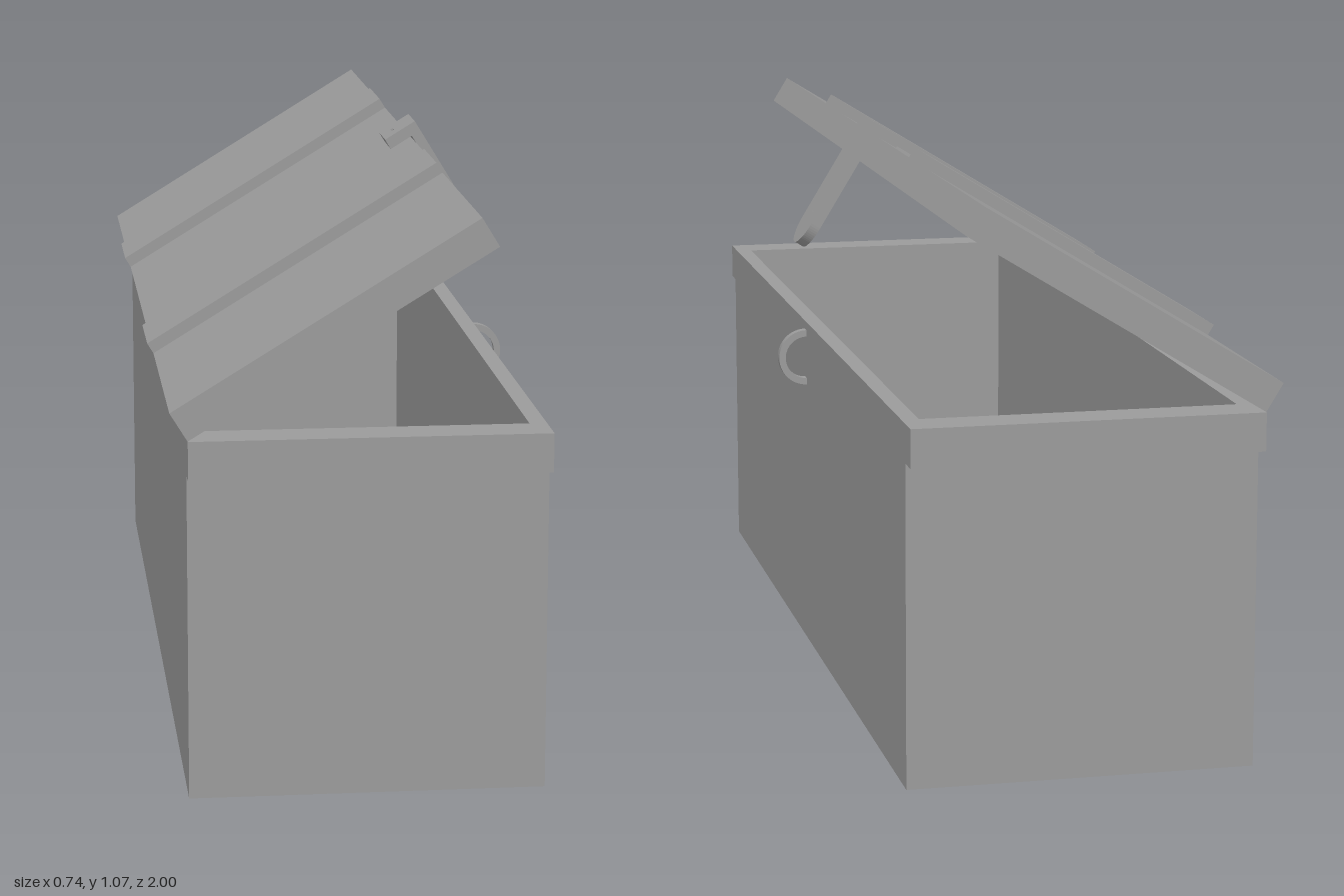
import * as THREE from 'three';

const material = new THREE.MeshStandardMaterial({ color: 0x9b9b9b, flatShading: true });

function add(parent, name, geometry, x = 0, y = 0, z = 0) {
  const mesh = new THREE.Mesh(geometry, material);
  mesh.name = name;
  mesh.position.set(x, y, z);
  parent.add(mesh);
  return mesh;
}

// Box given by its minimum and maximum corners
function addBox(parent, name, [x0, y0, z0], [x1, y1, z1]) {
  const geometry = new THREE.BoxGeometry(x1 - x0, y1 - y0, z1 - z0);
  return add(parent, name, geometry, (x0 + x1) / 2, (y0 + y1) / 2, (z0 + z1) / 2);
}

function rectangle(PathType, x0, y0, x1, y1) {
  return new PathType([[x0, y0], [x1, y0], [x1, y1], [x0, y1]].map(p => new THREE.Vector2(...p)));
}

function extrude(shape, depth) {
  return new THREE.ExtrudeGeometry(shape, { depth, bevelEnabled: false, curveSegments: 16 });
}

// Upright rectangular frame, open in the middle, from y0 to y1
const BACK = -0.328, FRONT = 0.307, WALL = 0.031;
function frame(halfLength, y0, y1) {
  const shape = rectangle(THREE.Shape, BACK, -halfLength, FRONT, halfLength);
  shape.holes.push(rectangle(THREE.Path, BACK + WALL, -0.922, FRONT - WALL, 0.922));
  return extrude(shape, y1 - y0).rotateX(-Math.PI / 2).translate(0, y0, 0);
}

export function createModel() {
  const chest = new THREE.Group();
  chest.name = 'chest';

  // Open box with a rim that overhangs both ends
  addBox(chest, 'floor', [BACK, 0, -0.955], [FRONT, WALL, 0.955]);
  add(chest, 'walls', frame(0.955, WALL, 0.588));
  add(chest, 'rim', frame(1, 0.588, 0.658));

  // Curved staple on the long front wall
  const hook = new THREE.Shape();
  hook.absarc(0, 0, 0.055, -Math.PI / 2, Math.PI / 2, false);
  hook.absarc(0, 0, 0.042, Math.PI / 2, -Math.PI / 2, true);
  hook.closePath();
  add(chest, 'staple', extrude(hook, 0.018), 0.313, 0.593, -0.009);

  // Lid tilted open about the back edge
  const lid = new THREE.Group();
  lid.name = 'lid';
  lid.position.set(BACK, 0.658, 0);
  lid.rotation.z = THREE.MathUtils.degToRad(31.5);
  chest.add(lid);
  const LENGTH = 0.629, THICK = 0.059, TOP = 0.081;
  addBox(lid, 'lidPanel', [0, 0, -0.997], [LENGTH, THICK, 0.997]);
  for (const z of [-0.451, 0.42]) {
    addBox(lid, 'strap', [0, THICK, z - 0.085], [LENGTH, TOP, z + 0.085]);
  }

  // Hasp: a plate on the lid and a slotted, round-ended arm hanging from it
  const hasp = new THREE.Group();
  hasp.name = 'hasp';
  lid.add(hasp);
  const plate = rectangle(THREE.Shape, 0.583, -0.05, 0.632, 0.05);
  plate.holes.push(rectangle(THREE.Path, 0.604, -0.012, 0.609, 0.012));
  add(hasp, 'haspPlate', extrude(plate, TOP - THICK).rotateX(-Math.PI / 2), 0, THICK, 0);

  const arm = new THREE.Shape();
  arm.moveTo(0.05, TOP);
  arm.lineTo(-0.05, TOP);
  arm.lineTo(-0.05, -0.153);
  arm.absarc(0, -0.153, 0.05, Math.PI, 2 * Math.PI, false);
  arm.closePath();
  arm.holes.push(rectangle(THREE.Path, -0.013, -0.133, 0.013, 0.002));
  add(hasp, 'haspArm', extrude(arm, 0.02).rotateY(Math.PI / 2), 0.632, 0, 0);

  return chest;
}
